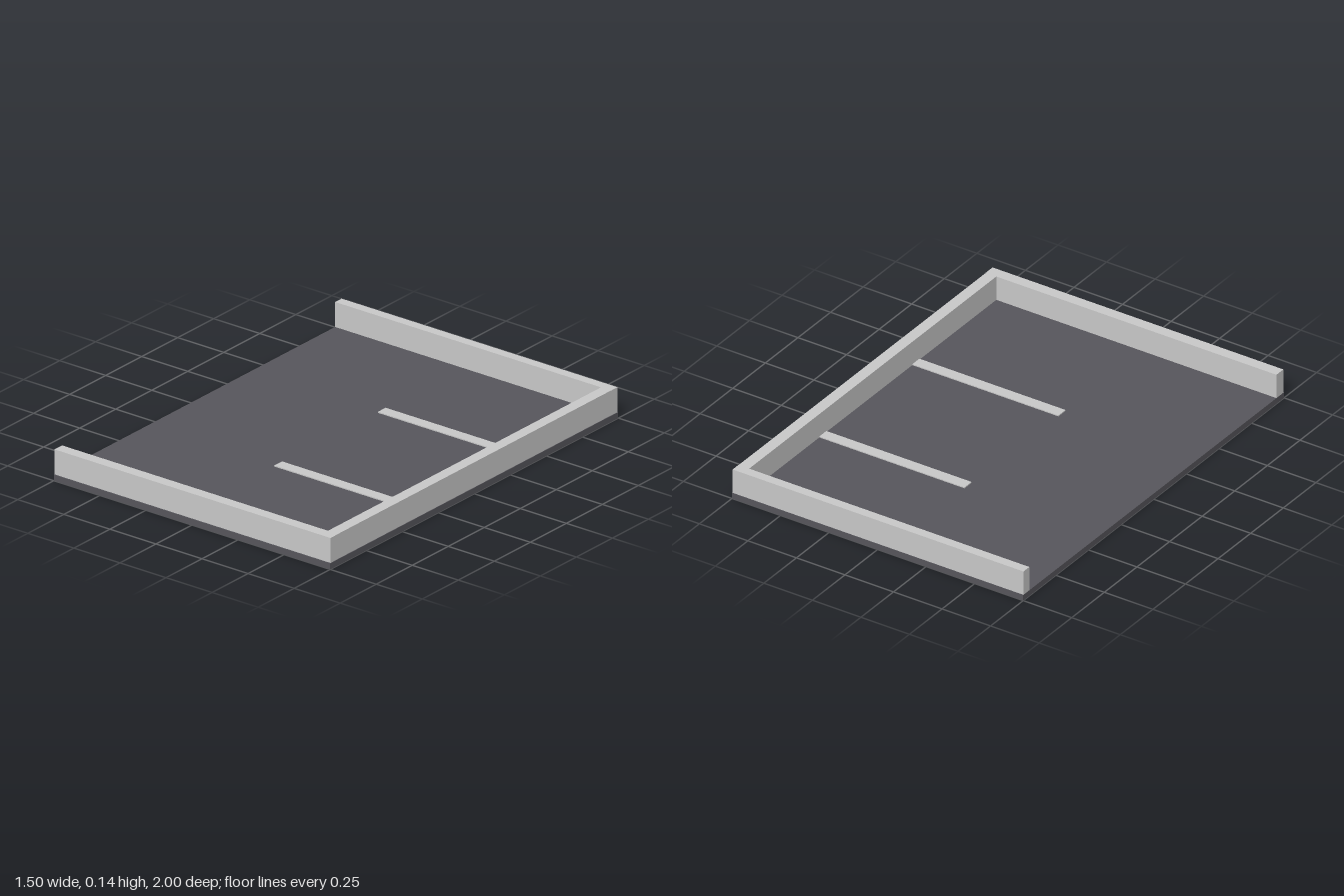
import * as THREE from 'three';

export function createModel() {
  const model = new THREE.Group();
  const floorMat = new THREE.MeshStandardMaterial({ color: 0x57565c });
  floorMat.name = 'dark asphalt';
  const wallMat = new THREE.MeshStandardMaterial({ color: 0xc9c9c9 });
  wallMat.name = 'light concrete';

  // Box given by its extents along each axis
  const box = (name, mat, [x0, x1], [y0, y1], [z0, z1]) => {
    const mesh = new THREE.Mesh(new THREE.BoxGeometry(x1 - x0, y1 - y0, z1 - z0), mat);
    mesh.position.set((x0 + x1) / 2, (y0 + y1) / 2, (z0 + z1) / 2);
    mesh.name = name;
    model.add(mesh);
  };

  const floorTop = 0.028;
  const wallHeight = [floorTop, 0.145];

  // Floor slab
  box('floor', floorMat, [-0.75, 0.75], [0, floorTop], [-1, 1]);

  // Low walls on three sides, open on the right side
  box('backWall', wallMat, [-0.75, 0.748], wallHeight, [-0.998, -0.953]);
  box('frontWall', wallMat, [-0.75, 0.748], wallHeight, [0.942, 0.995]);
  box('leftWall', wallMat, [0.693, 0.747], wallHeight, [-0.953, 0.942]);

  // Thin bay markings on the floor
  for (const [name, x, z] of [['backBayLine', -0.055, -0.388], ['frontBayLine', -0.06, 0.325]]) {
    box(name, wallMat, [x, 0.693], [floorTop, floorTop + 0.005], [z - 0.027, z + 0.027]);
  }

  return model;
}
